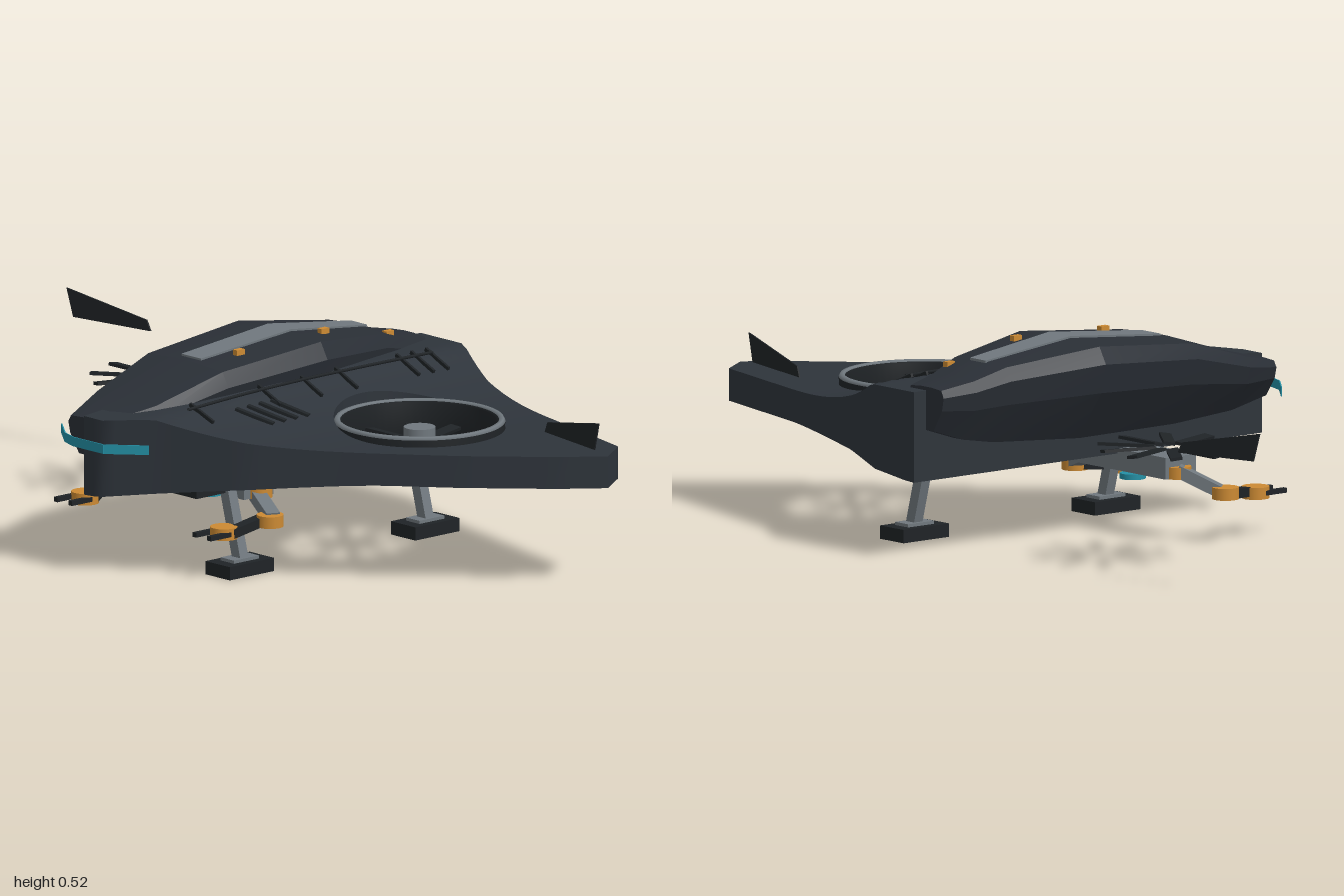
import * as THREE from 'three';
import { toCreasedNormals } from 'three/addons/utils/BufferGeometryUtils.js';

const CX = -0.02; // symmetry plane of the paired parts
const mat = (color, side = THREE.FrontSide) => new THREE.MeshStandardMaterial({ color, side });
const hull = mat(0x2e343b), shell = mat(0x2a2f36), dark = mat(0x1f2326, THREE.DoubleSide);
const grey = mat(0x70787e), orange = mat(0xcc8a33), teal = mat(0x2490a5);
const clamp = THREE.MathUtils.clamp;

function add(parent, name, geo, material, x = 0, y = 0, z = 0) {
  const m = new THREE.Mesh(geo, material);
  m.name = name;
  m.position.set(x, y, z);
  parent.add(m);
  return m;
}

// Box running from a to b, w wide and h high
function beam(parent, name, a, b, w, h, material) {
  const p = new THREE.Vector3(...a), q = new THREE.Vector3(...b);
  const m = add(parent, name, new THREE.BoxGeometry(w, h, p.distanceTo(q)), material);
  m.position.copy(p).add(q).multiplyScalar(0.5);
  m.lookAt(q);
  return m;
}

// Skin over rings of points; closeRows joins the last ring to the first
function loft(rings, closeRows, crease) {
  const n = rings[0].length, rows = rings.length, idx = [];
  for (let i = 0; i < (closeRows ? rows : rows - 1); i++) {
    for (let j = 0; j < n; j++) {
      const k = (i + 1) % rows, l = (j + 1) % n;
      const a = i * n + j, b = k * n + j, c = k * n + l, d = i * n + l;
      idx.push(a, b, c, a, c, d);
    }
  }
  if (!closeRows) {
    const e = (rows - 1) * n;
    for (let j = 1; j < n - 1; j++) idx.push(0, j, j + 1, e, e + j + 1, e + j);
  }
  const g = new THREE.BufferGeometry();
  g.setAttribute('position', new THREE.Float32BufferAttribute(rings.flat(2), 3));
  g.setIndex(idx);
  return toCreasedNormals(g, crease);
}

// Height of the wing's upper and lower skins
function topY(x, z) {
  const f = clamp((0.62 - x) / 0.47, 0, 1) ** 2.75;
  const h = z > -0.1 ? 0.092 - 0.032 * ((z + 0.1) / 0.67) ** 2 : 0.092 - 0.004 * ((z + 0.1) / 0.48) ** 2;
  return 0.342 + h * f;
}
const bottomY = (x) => 0.26 - 0.06 * clamp((0.6 - x) / 0.6, 0, 1) ** 1.3;

const ROTOR = { x: 0.455, z: -0.14, r: 0.215 };

function wing() {
  const outline = [[-0.02, -0.58], [0.13, -0.58], [0.3, -0.515], [0.62, -0.445], [0.94, -0.37], [1, -0.28],
    [0.92, -0.18], [0.75, -0.01], [0.52, 0.185], [0.345, 0.345], [0.155, 0.48], [0.05, 0.565], [-0.02, 0.565]];
  const rings = [], steps = 16;
  outline.forEach((p, i) => {
    const q = outline[(i + 1) % outline.length];
    const cuts = Math.ceil(Math.hypot(q[0] - p[0], q[1] - p[1]) / 0.045);
    for (let k = 0; k < cuts; k++) {
      const ox = p[0] + (q[0] - p[0]) * k / cuts, oz = p[1] + (q[1] - p[1]) * k / cuts;
      const dx = ox - ROTOR.x, dz = oz - ROTOR.z, d = Math.hypot(dx, dz), upper = [], lower = [];
      for (let s = 0; s <= steps; s++) {
        const r = (ROTOR.r + (d - ROTOR.r) * s / steps) / d;
        const x = ROTOR.x + dx * r, z = ROTOR.z + dz * r;
        upper.push([x, topY(x, z), z]);
        lower.unshift([x, bottomY(x), z]);
      }
      rings.push([...upper, ...lower]);
    }
  });
  return loft(rings, true, 0.95);
}

function canopy() {
  // z, half width, top, bottom
  const stations = [[-0.54, 0.068, 0.44, 0.33], [-0.45, 0.091, 0.458, 0.3], [-0.36, 0.116, 0.488, 0.285],
    [-0.1, 0.178, 0.52, 0.27], [0.22, 0.16, 0.49, 0.27], [0.42, 0.126, 0.428, 0.28], [0.555, 0.068, 0.395, 0.3]];
  const rings = stations.map(([z, w, t, b]) => {
    const h = t - b;
    const half = [[0.25, t], [0.86, t - 0.03 * h], [1, t - 0.2 * h], [0.9, t - 0.5 * h], [0.42, b]];
    return [...half.map(([x, y]) => [CX - x * w, y, z]).reverse(), ...half.map(([x, y]) => [CX + x * w, y, z])];
  });
  return loft(rings, false, 0.2);
}

function blades(name, x) {
  const g = new THREE.Group();
  g.name = name;
  g.position.set(x, 0.305, ROTOR.z);
  for (let i = 0; i < 10; i++) {
    const arm = new THREE.Group();
    arm.rotation.y = i * Math.PI / 5;
    add(arm, 'blade', new THREE.BoxGeometry(0.14, 0.008, 0.03), dark, 0.115, 0, 0).rotation.x = 0.15;
    g.add(arm);
  }
  return g;
}

function gripperArm(name, s) {
  const g = new THREE.Group();
  g.name = name;
  g.position.x = CX;
  const P = (x, y, z) => [s * x, y, z];
  const joint = (n, x, y, z, r) => add(g, n, new THREE.CylinderGeometry(r, r, 0.03, 16), orange, s * x, y, z);
  joint('shoulderJoint', 0.18, 0.172, 0.135, 0.034);
  beam(g, 'upperArm', P(0.18, 0.172, 0.135), P(0.29, 0.126, 0.2), 0.036, 0.03, grey);
  joint('elbowJoint', 0.29, 0.126, 0.198, 0.034);
  beam(g, 'forearm', P(0.29, 0.126, 0.2), P(0.257, 0.11, 0.32), 0.03, 0.024, dark);
  joint('wristJoint', 0.257, 0.11, 0.325, 0.035);
  for (const f of [-1, 1]) add(g, 'gripperFinger', new THREE.BoxGeometry(0.014, 0.012, 0.07), dark, s * 0.257 + f * 0.027, 0.11, 0.365);
  return g;
}

function fin(s) {
  // Thin swept blade with a raked tip
  const pts = [[0.73, 0.345], [0.965, 0.348], [0.985, 0.42], [0.742, 0.372]];
  const shape = new THREE.Shape(pts.map(([x, y]) => new THREE.Vector2(s * x, y)));
  const g = new THREE.ExtrudeGeometry(shape, { depth: 0.004, bevelEnabled: false });
  const p = g.attributes.position;
  for (let i = 0; i < p.count; i++) p.setZ(i, p.getZ(i) - 0.335 + (Math.abs(p.getX(i)) - 0.73) * 0.2);
  g.computeVertexNormals();
  return g;
}

export function createModel() {
  const model = new THREE.Group();
  model.name = 'aircraft';
  add(model, 'wing', wing(), hull);
  add(model, 'canopyHull', canopy(), shell);

  // Long window along the canopy crest
  const win = [[-0.37, 0.03, 0.488], [-0.1, 0.042, 0.522], [0.2, 0.036, 0.494]].map(([z, w, y]) =>
    [[CX - w, y - 0.012, z], [CX - w, y + 0.003, z], [CX + w, y + 0.003, z], [CX + w, y - 0.012, z]]);
  add(model, 'crestPanel', loft(win, false, 0.2), grey);

  // Marker lights beside the crest
  for (const [y, z] of [[0.506, 0.107], [0.514, -0.18], [0.472, -0.4]])
    add(model, 'markerLight', new THREE.BoxGeometry(0.016, 0.014, 0.026), orange, 0.055, y, z);

  // Thin light strip wrapped around the nose
  const strip = [[-0.178, 0.495], [-0.1, 0.555], [-0.05, 0.571], [0.06, 0.571], [0.145, 0.495]];
  for (let i = 0; i < strip.length - 1; i++) {
    const [a, b] = [strip[i], strip[i + 1]];
    beam(model, 'noseLight', [a[0], 0.332, a[1]], [b[0], 0.332, b[1]], 0.003, 0.024, teal);
  }

  // Rotor duct, lip, blades and hub
  const duct = [[0.21, 0.27], [0.215, 0.36], [0.205, 0.366], [0.192, 0.36], [0.195, 0.27], [0.21, 0.27]];
  add(model, 'rotorDuct', new THREE.LatheGeometry(duct.map((p) => new THREE.Vector2(...p)), 64), dark, ROTOR.x, 0, ROTOR.z);
  add(model, 'rotorLip', new THREE.TorusGeometry(0.206, 0.009, 6, 64), grey, ROTOR.x, 0.36, ROTOR.z).rotation.x = Math.PI / 2;
  add(model, 'rotorHub', new THREE.CylinderGeometry(0.04, 0.04, 0.06, 16), grey, ROTOR.x, 0.315, ROTOR.z);
  model.add(blades('leftBlades', ROTOR.x), blades('rightBlades', 2 * CX - ROTOR.x));

  // Tip fins
  for (const s of [1, -1]) add(model, s > 0 ? 'leftFin' : 'rightFin', fin(s), dark, CX, 0, 0);

  // Side rail with its stays
  const rail = [0.38, 0.2, 0, -0.2, -0.45].map((z) => new THREE.Vector3(0.165, topY(0.165, z) + 0.01, z));
  add(model, 'sideRail', new THREE.TubeGeometry(new THREE.CatmullRomCurve3(rail), 20, 0.004, 6), dark);
  for (const z of [-0.45, -0.4, -0.35, -0.14, -0.02, 0.12, 0.35])
    beam(model, 'railStay', [0.14, topY(0.14, z) + 0.006, z], [0.225, topY(0.225, z) + 0.004, z], 0.007, 0.01, dark);

  // Slanted vents on the wing root
  for (let i = 0; i < 4; i++) {
    const z = 0.125 + i * 0.04;
    beam(model, 'vent', [0.195, topY(0.195, z) + 0.001, z], [0.285, topY(0.285, z - 0.045) + 0.001, z - 0.045], 0.016, 0.008, dark);
  }

  // Belly keel and landing legs
  add(model, 'keel', new THREE.BoxGeometry(0.1, 0.028, 0.845), dark, 0.16, 0.215, -0.03);
  for (const z of [0.28, -0.35]) {
    const leg = new THREE.Group();
    leg.name = 'landingLeg';
    beam(leg, 'strut', [0.2, 0.22, z], [0.25, 0.035, z], 0.028, 0.03, grey);
    add(leg, 'ankle', new THREE.BoxGeometry(0.05, 0.01, 0.085), grey, 0.247, 0.037, z);
    add(leg, 'foot', new THREE.BoxGeometry(0.09, 0.034, 0.15), dark, 0.247, 0.017, z);
    model.add(leg);
  }

  // Gripper arms on a cross bar, with a sensor below
  add(model, 'armBar', new THREE.BoxGeometry(0.37, 0.055, 0.1), grey, CX, 0.185, 0.14);
  add(model, 'sensor', new THREE.CylinderGeometry(0.033, 0.033, 0.014, 20), teal, CX, 0.139, 0.14);
  model.add(gripperArm('leftArm', 1), gripperArm('rightArm', -1));
  return model;
}
